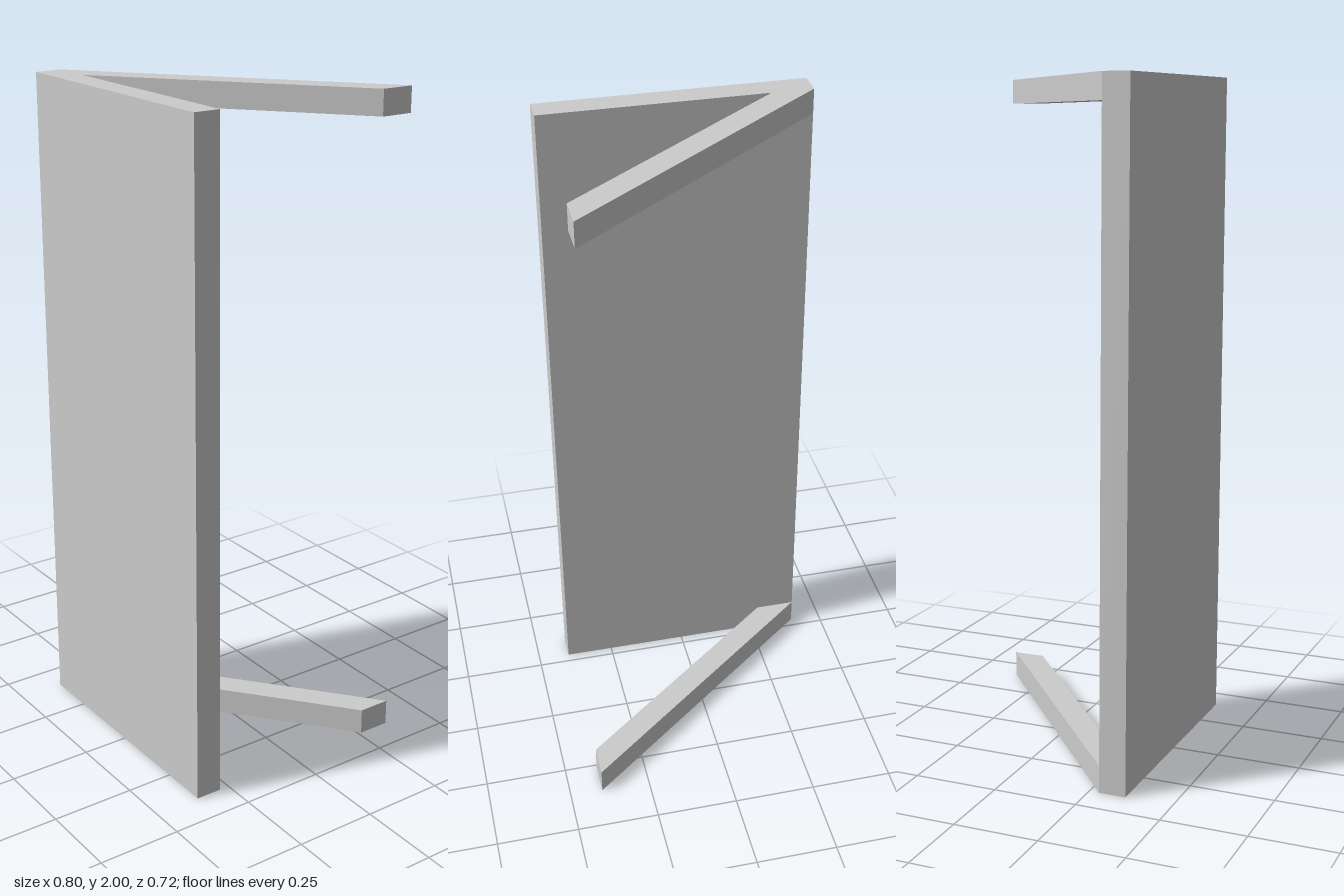
import * as THREE from 'three';

export function createModel() {
  const group = new THREE.Group();
  const material = new THREE.MeshStandardMaterial({ color: 0xcccccc, flatShading: true });

  // Upright front panel
  const panel = new THREE.Mesh(new THREE.BoxGeometry(0.8, 2, 0.08), material);
  panel.name = 'frontPanel';
  panel.position.set(0, 1, 0.32);
  group.add(panel);

  // Slanted arm running back from the panel's right edge; plan points are (x, z)
  const plan = [[-0.4, 0.28], [-0.275, 0.28], [0.4, -0.26], [0.4, -0.36]];
  const shape = new THREE.Shape(plan.map(([x, z]) => new THREE.Vector2(x, -z)));

  function addArm(name, bottom, height) {
    const geometry = new THREE.ExtrudeGeometry(shape, { depth: height, bevelEnabled: false });
    geometry.rotateX(-Math.PI / 2);
    const arm = new THREE.Mesh(geometry, material);
    arm.name = name;
    arm.position.y = bottom;
    group.add(arm);
  }
  addArm('bottomArm', 0, 0.08);
  addArm('topArm', 1.925, 0.075);

  return group;
}
